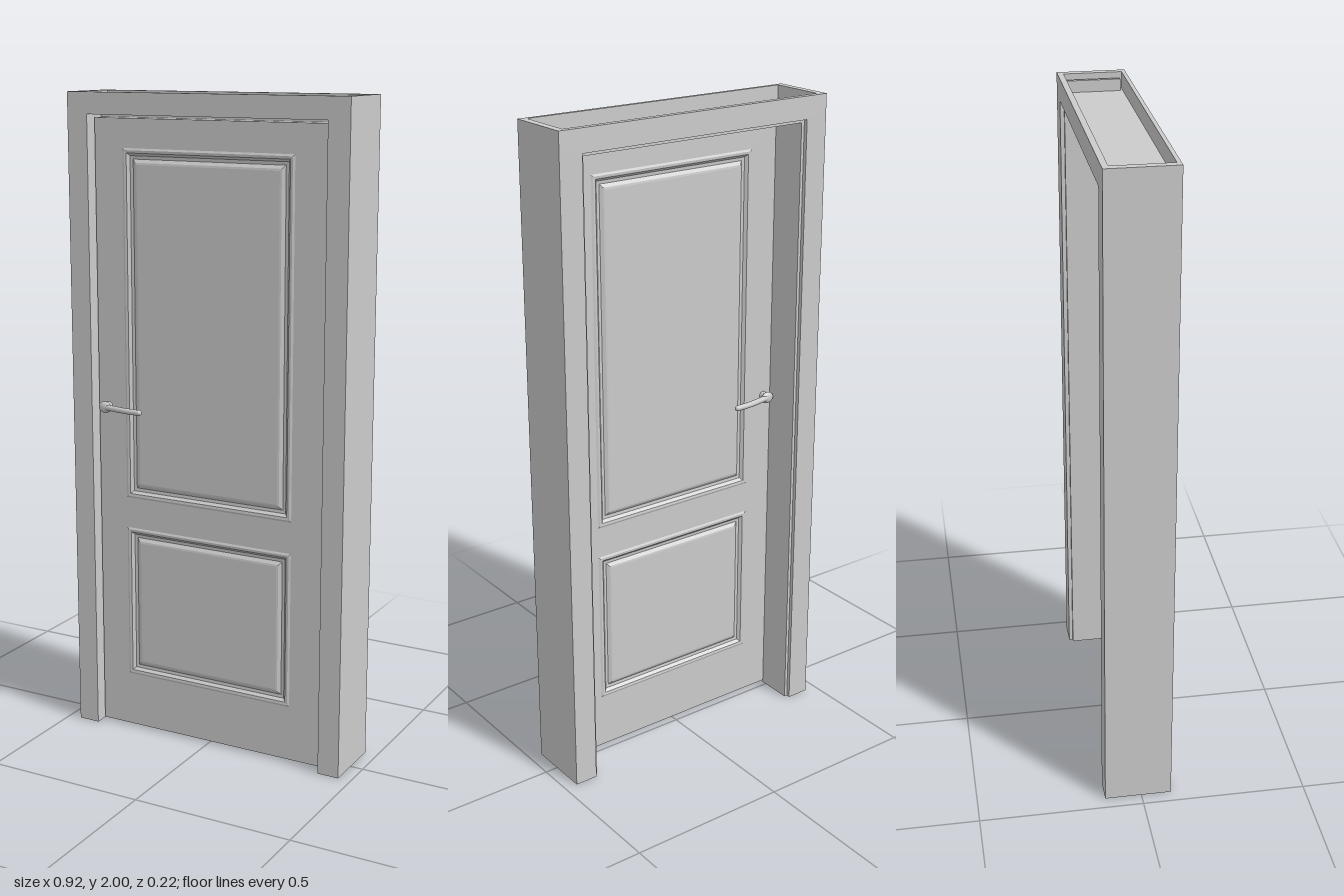
import * as THREE from 'three';

const material = new THREE.MeshStandardMaterial({ color: 0xcccccc });
const DOOR_FRONT = 0.062, DOOR_BACK = 0.015;

function part(parent, name, geometry) {
  const mesh = new THREE.Mesh(geometry, material);
  mesh.name = name;
  parent.add(mesh);
  return mesh;
}

function rect(Type, x0, y0, x1, y1) {
  return new Type([[x0, y0], [x1, y0], [x1, y1], [x0, y1]].map(([x, y]) => new THREE.Vector2(x, y)));
}

// Extrude a flat outline between two depths
function slab(shape, z0, z1) {
  return new THREE.ExtrudeGeometry(shape, { depth: z1 - z0, bevelEnabled: false }).translate(0, 0, z0);
}

// Upside-down U: two jambs joined by a head
function surround(inner, top, z0, z1) {
  const points = [[-0.46, 0], [-inner, 0], [-inner, top], [inner, top], [inner, 0], [0.46, 0], [0.46, 1.95], [-0.46, 1.95]];
  return slab(new THREE.Shape(points.map(([x, y]) => new THREE.Vector2(x, y))), z0, z1);
}

// Moulded panel: nested rectangles [inset, height] sinking into a groove and rising to a flat field
function panelGeometry([x0, y0, x1, y1]) {
  const steps = [[0, 0], [0.006, 0.003], [0.014, 0.002], [0.022, -0.007], [0.032, -0.008], [0.042, -0.001], [0.048, 0]];
  const positions = [];
  const ring = ([d, z]) => [[x0 + d, y0 + d, z], [x1 - d, y0 + d, z], [x1 - d, y1 - d, z], [x0 + d, y1 - d, z]];
  const quad = (a, b, c, d) => positions.push(...a, ...b, ...c, ...a, ...c, ...d);
  for (let s = 0; s < steps.length - 1; s++) {
    const outer = ring(steps[s]), inner = ring(steps[s + 1]);
    for (let i = 0; i < 4; i++) {
      const j = (i + 1) % 4;
      quad(outer[i], outer[j], inner[j], inner[i]);
    }
  }
  quad(...ring(steps[steps.length - 1]));
  const geometry = new THREE.BufferGeometry();
  geometry.setAttribute('position', new THREE.Float32BufferAttribute(positions, 3));
  geometry.computeVertexNormals();
  return geometry;
}

// Lever handle, built facing +z from the door face
function createHandle() {
  const handle = new THREE.Group();
  const spindle = part(handle, 'spindle', new THREE.CylinderGeometry(0.011, 0.014, 0.026, 20).rotateX(Math.PI / 2));
  spindle.position.set(-0.35, 1.05, 0.012);
  const knob = part(handle, 'leverHub', new THREE.SphereGeometry(0.02, 20, 14));
  knob.scale.set(1.1, 0.9, 0.5);
  knob.position.set(-0.35, 1.05, 0.022);
  const path = new THREE.CatmullRomCurve3([
    [-0.355, 1.05, 0.021], [-0.32, 1.05, 0.029], [-0.27, 1.05, 0.038], [-0.217, 1.05, 0.041],
  ].map((p) => new THREE.Vector3(...p)));
  part(handle, 'lever', new THREE.TubeGeometry(path, 24, 0.009, 12));
  part(handle, 'leverTip', new THREE.SphereGeometry(0.009, 12, 10)).position.set(-0.217, 1.05, 0.041);
  return handle;
}

export function createModel() {
  const model = new THREE.Group();
  model.name = 'door';

  // Frame: front rebate, door stop, and a small step round the back opening
  const frame = new THREE.Group();
  frame.name = 'frame';
  model.add(frame);
  part(frame, 'frontCasing', surround(0.392, 1.935, DOOR_BACK, 0.092));
  part(frame, 'doorStop', surround(0.378, 1.922, -0.1, DOOR_BACK));
  part(frame, 'backCasing', surround(0.388, 1.932, -0.112, -0.1));

  // Raised rim making an open tray on top of the head
  const rim = rect(THREE.Shape, -0.46, -0.092, 0.46, 0.112);
  rim.holes.push(rect(THREE.Path, -0.437, -0.08, 0.437, 0.094));
  part(frame, 'topRim', slab(rim, 0, 0.05).rotateX(-Math.PI / 2).translate(0, 1.95, 0));
  part(frame, 'topRib', new THREE.BoxGeometry(0.012, 0.035, 0.165)).position.set(0.418, 1.9675, -0.01);

  // Door leaf: a slab with two openings, filled by moulded panels on both faces
  const leaf = new THREE.Group();
  leaf.name = 'leaf';
  model.add(leaf);
  const panels = { upperPanel: [-0.288, 0.765, 0.28, 1.838], lowerPanel: [-0.288, 0.18, 0.28, 0.668] };
  const outline = rect(THREE.Shape, -0.384, 0.008, 0.384, 1.925);
  for (const p of Object.values(panels)) outline.holes.push(rect(THREE.Path, ...p));
  part(leaf, 'stilesAndRails', slab(outline, DOOR_BACK, DOOR_FRONT));
  for (const [name, [x0, y0, x1, y1]] of Object.entries(panels)) {
    part(leaf, name + 'Front', panelGeometry([x0, y0, x1, y1])).position.z = DOOR_FRONT;
    const back = part(leaf, name + 'Back', panelGeometry([-x1, y0, -x0, y1]));
    back.rotation.y = Math.PI;
    back.position.z = DOOR_BACK;
  }

  // Handles on both faces, the back one mirrored in depth
  const frontHandle = createHandle();
  frontHandle.name = 'frontHandle';
  frontHandle.position.z = DOOR_FRONT;
  const backHandle = createHandle();
  backHandle.name = 'backHandle';
  backHandle.scale.z = -1;
  backHandle.position.z = DOOR_BACK;
  model.add(frontHandle, backHandle);

  return model;
}
